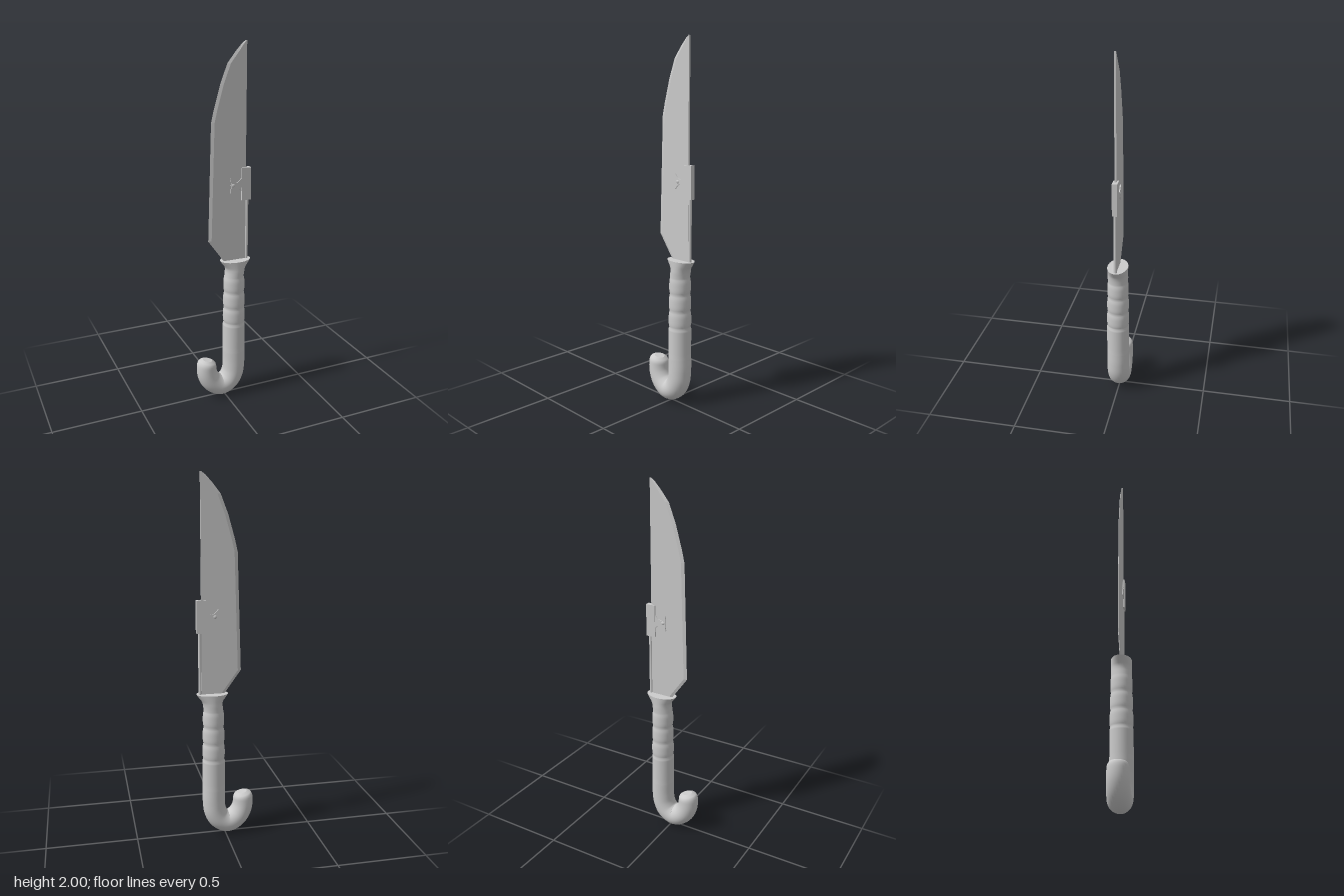
import * as THREE from 'three';

const material = new THREE.MeshStandardMaterial({ color: 0xcccccc });
const flat = new THREE.MeshStandardMaterial({ color: 0xcccccc, flatShading: true });

function part(group, name, geometry, mat, x = 0, y = 0, z = 0) {
  const mesh = new THREE.Mesh(geometry, mat);
  mesh.name = name;
  mesh.position.set(x, y, z);
  group.add(mesh);
  return mesh;
}

// Joins equal-sized rings of points into a skin, with optional flat end caps
function loft(rings, caps) {
  const n = rings[0].length;
  const pos = [], index = [];
  rings.forEach(r => r.forEach(p => pos.push(...p)));
  for (let i = 0; i < rings.length - 1; i++) {
    for (let j = 0; j < n; j++) {
      const a = i * n + j, b = i * n + (j + 1) % n;
      index.push(a, b, a + n, b, b + n, a + n);
    }
  }
  if (caps) {
    [rings[0], rings[rings.length - 1]].forEach((ring, end) => {
      const base = pos.length / 3;
      ring.forEach(p => pos.push(...p));
      for (let j = 1; j < n - 1; j++) {
        if (end) index.push(base, base + j, base + j + 1);
        else index.push(base, base + j + 1, base + j);
      }
    });
  }
  const g = new THREE.BufferGeometry();
  g.setAttribute('position', new THREE.Float32BufferAttribute(pos, 3));
  g.setIndex(index);
  g.computeVertexNormals();
  return g;
}

// Handle: stations of centre x, y, half width and half depth, from hook end to flare
function handleGeometry() {
  const stations = [];
  const hook = new THREE.CatmullRomCurve3([
    [-0.1, 0.238], [-0.106, 0.2], [-0.1, 0.145], [-0.072, 0.095], [-0.02, 0.066],
    [0.028, 0.087], [0.055, 0.135], [0.063, 0.2], [0.063, 0.28],
  ].map(([x, y]) => new THREE.Vector3(x, y, 0)));
  const steps = 48;
  for (let i = 0; i <= steps; i++) {
    const t = i / steps;
    const p = hook.getPointAt(t);
    // the free end rounds over to a small flat disc
    const round = 0.5 + 0.5 * Math.sqrt(1 - (1 - Math.min(1, t / 0.07)) ** 2);
    const r = THREE.MathUtils.lerp(0.054, 0.063, Math.min(1, t / 0.45)) * round;
    stations.push([p.x, p.y, r, r]);
  }
  // straight grip with finger swells
  for (let y = 0.3; y < 0.745; y += 0.0095) {
    const swell = y > 0.45 ? 0.006 * (1 - Math.abs(Math.sin((y - 0.45) / 0.095 * Math.PI))) ** 2 : 0;
    const taper = 0.004 * THREE.MathUtils.smoothstep(y, 0.45, 0.75);
    stations.push([0.063, y, 0.0625 - swell - taper, 0.0625 - swell * 0.7 - taper]);
  }
  // neck and oval flare
  stations.push([0.066, 0.76, 0.054, 0.057], [0.068, 0.778, 0.054, 0.056],
    [0.069, 0.795, 0.062, 0.056], [0.069, 0.815, 0.078, 0.056], [0.069, 0.83, 0.088, 0.056]);

  const rings = stations.map(([x, y, rx, rz], i) => {
    const a = stations[Math.max(0, i - 1)], b = stations[Math.min(stations.length - 1, i + 1)];
    let tx = b[0] - a[0], ty = b[1] - a[1];
    if (i > steps) { tx = 0; ty = 1; }
    const len = Math.hypot(tx, ty);
    const ring = [];
    for (let j = 0; j < 32; j++) {
      const u = j / 32 * Math.PI * 2;
      const c = Math.cos(u) * rx;
      ring.push([x + c * ty / len, y - c * tx / len, -Math.sin(u) * rz]);
    }
    return ring;
  });
  return loft(rings, true);
}

// Blade: rows of cutting edge x, y and spine x, with a narrow ground bevel
function bladeGeometry() {
  const rows = [
    [0.01, 0.81, 0.127], [0, 0.83, 0.127], [-0.09, 0.955, 0.127], [-0.07, 1.595, 0.127],
    [-0.055, 1.66, 0.127], [-0.02, 1.785, 0.127], [0.02, 1.89, 0.127],
    [0.065, 1.947, 0.127], [0.1, 1.985, 0.127], [0.121, 2, 0.127],
  ];
  const t = 0.005;
  return loft(rows.map(([edge, y, spine]) => {
    const bevel = edge + Math.min(0.018, (spine - edge) * 0.4);
    return [[edge, y, 0], [bevel, y, t], [spine, y, t], [spine, y, -t], [bevel, y, -t]];
  }), true);
}

// Waisted plate that ties the clamp to the blade
function tieGeometry() {
  const s = new THREE.Shape();
  s.moveTo(-0.035, -0.042);
  s.quadraticCurveTo(-0.015, -0.014, 0, -0.014);
  s.quadraticCurveTo(0.015, -0.014, 0.035, -0.042);
  s.lineTo(0.035, 0.042);
  s.quadraticCurveTo(0.015, 0.014, 0, 0.014);
  s.quadraticCurveTo(-0.015, 0.014, -0.035, 0.042);
  s.quadraticCurveTo(-0.024, 0, -0.035, -0.042);
  const g = new THREE.ExtrudeGeometry(s, { depth: 0.022, bevelEnabled: false, curveSegments: 8 });
  return g.translate(0, 0, -0.011);
}

export function createModel() {
  const model = new THREE.Group();
  model.name = 'hookHandledKnife';

  part(model, 'handle', handleGeometry(), material);
  part(model, 'blade', bladeGeometry(), flat);

  // rod along the spine, up to the clamp
  part(model, 'spineRod', new THREE.CylinderGeometry(0.009, 0.009, 0.37, 16), material, 0.136, 1.005);
  part(model, 'clamp', new THREE.BoxGeometry(0.053, 0.178, 0.028), material, 0.1275, 1.257);
  part(model, 'clampTie', tieGeometry(), material, 0.07, 1.255);
  part(model, 'clampRivet', new THREE.SphereGeometry(0.015, 16, 12), material, 0.053, 1.255);

  return model;
}
